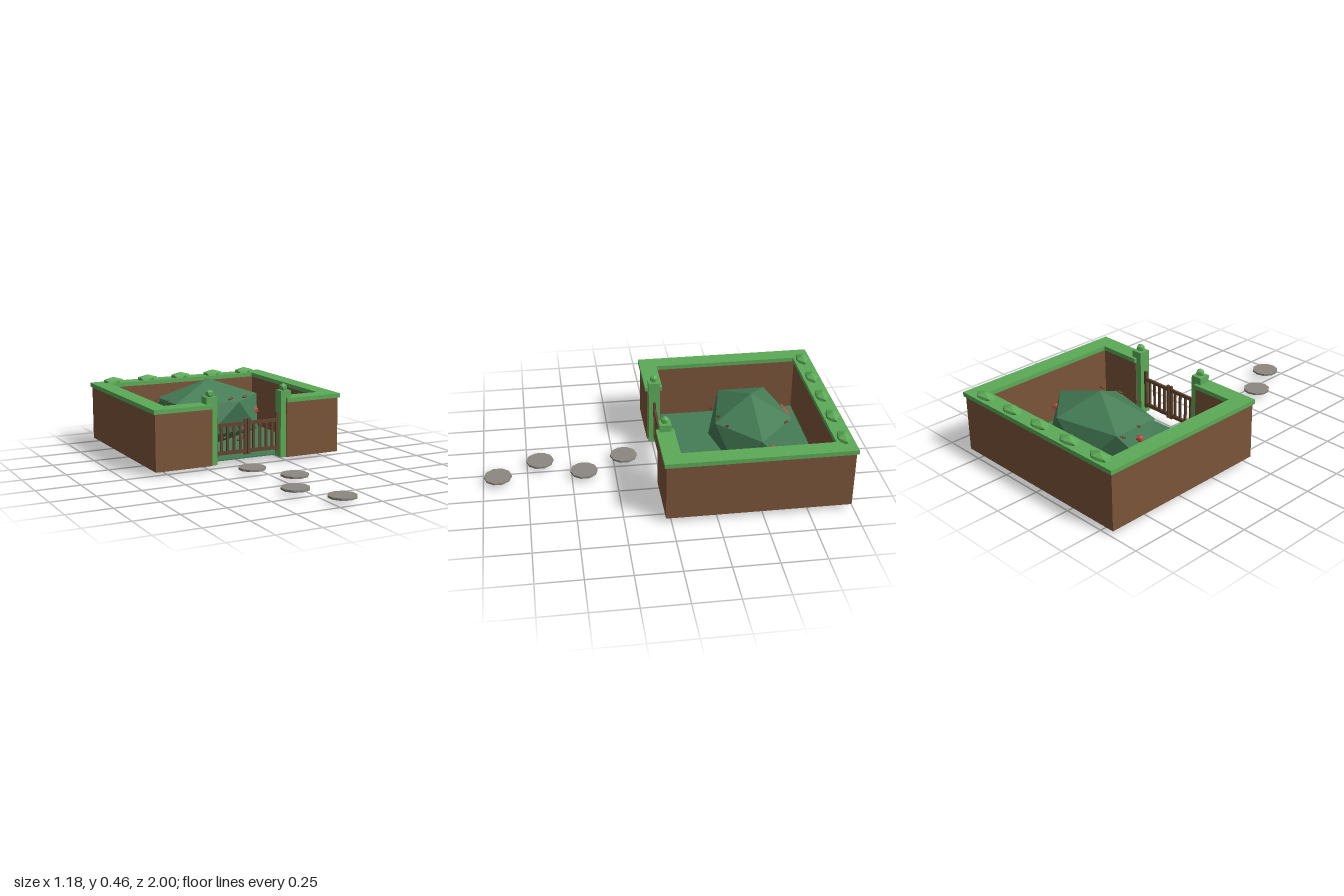
import * as THREE from 'three';
import { ConvexGeometry } from 'three/addons/geometries/ConvexGeometry.js';

const mat = (name, color) => {
  const m = new THREE.MeshStandardMaterial({ color, flatShading: true });
  m.name = name;
  return m;
};

// Icosahedron standing on a corner, stretched along each axis
function crystal(rx, ry, rz) {
  const pts = [new THREE.Vector3(0, ry, 0), new THREE.Vector3(0, -ry, 0)];
  for (let i = 0; i < 10; i++) {
    const a = (i * Math.PI) / 5;
    const y = i % 2 ? -0.447 : 0.447;
    pts.push(new THREE.Vector3(0.894 * rx * Math.cos(a), y * ry, 0.894 * rz * Math.sin(a)));
  }
  return new ConvexGeometry(pts);
}

export function createModel() {
  const root = new THREE.Group();
  root.name = 'walledGarden';
  const brown = mat('earth brown', 0x7a5438);
  const green = mat('leaf green', 0x5cab57);
  const darkGreen = mat('moss green', 0x457d56);
  const wood = mat('gate wood', 0x64452f);
  const grey = mat('stone grey', 0x8c8781);
  const red = mat('berry red', 0xc2463c);
  const orange = mat('clay orange', 0xca8a45);
  const cream = mat('stem cream', 0xe4d8bd);
  const leafBrown = mat('dry leaf brown', 0x74402c);

  const add = (name, geo, material, x, y, z, parent = root) => {
    const m = new THREE.Mesh(geo, material);
    m.name = name;
    m.position.set(x, y, z);
    parent.add(m);
    return m;
  };
  // Box given by its limits on each axis
  const box = (name, material, x0, x1, y0, y1, z0, z1, parent) =>
    add(name, new THREE.BoxGeometry(x1 - x0, y1 - y0, z1 - z0), material,
      (x0 + x1) / 2, (y0 + y1) / 2, (z0 + z1) / 2, parent);

  // Ground and back wall
  box('floor', darkGreen, -0.5, 0.5, 0.03, 0.037, -0.91, -0.055);
  box('backWall', brown, -0.58, 0.58, 0.03, 0.355, -0.99, -0.91);
  box('backCoping', green, -0.59, 0.59, 0.355, 0.38, -1, -0.9);

  for (const s of [-1, 1]) {
    const side = (name, m, a, b, ...rest) =>
      box(name, m, Math.min(s * a, s * b), Math.max(s * a, s * b), ...rest);
    // Side and front walls with their copings
    side('sideWall', brown, 0.5, 0.58, 0.03, 0.355, -0.91, 0.03);
    side('sideCoping', green, 0.49, 0.59, 0.355, 0.38, -0.9, 0.04);
    side('frontWall', brown, 0.237, 0.5, 0.03, 0.355, -0.05, 0.03);
    side('frontCoping', green, 0.235, 0.49, 0.355, 0.38, -0.06, 0.04);

    // Gate post and finial
    side('gatePost', green, 0.202, 0.268, 0.03, 0.42, -0.043, 0.023);
    add('postFinial', crystal(0.025, 0.025, 0.025), green, s * 0.235, 0.436, -0.01);

    // Gate leaf
    const z0 = -0.017, z1 = -0.003;
    side('gateOuterStile', wood, 0.186, 0.202, 0.066, 0.298, z0, z1);
    side('gateInnerStile', wood, 0.004, 0.02, 0.066, 0.273, z0, z1);
    side('gateTopRail', wood, 0.02, 0.186, 0.239, 0.258, z0, z1);
    side('gateBottomRail', wood, 0.02, 0.186, 0.076, 0.097, z0, z1);
    for (let i = 0; i < 4; i++) {
      const x = 0.043 + i * 0.04;
      side('gatePicket', wood, x - 0.007, x + 0.007, 0.097, 0.239, z0 + 0.002, z1 - 0.002);
    }
  }

  // Shrubs along the back coping
  for (let i = -2; i <= 2; i++)
    add('wallShrub', crystal(0.073, 0.033, 0.043), green, i * 0.228, 0.38, -0.95);

  // Central mound
  add('mound', crystal(0.375, 0.213, 0.26), darkGreen, 0, 0.217, -0.535);

  // Berries, dry leaves and pebbles resting on the mound
  const berry = crystal(0.023, 0.021, 0.02);
  for (const p of [[-0.31, 0.265, -0.545], [0.285, 0.222, -0.455], [0.3, 0.25, -0.6], [-0.06, 0.105, -0.36]])
    add('berry', berry, red, ...p);

  const leaf = crystal(0.02, 0.007, 0.01);
  const leaves = [
    [0.06, 0.33, -0.34, 0.3], [0.17, 0.33, -0.37, 0.3], [-0.06, 0.315, -0.32, 0.2],
    [0.17, 0.33, -0.705, -0.9], [-0.285, 0.3, -0.64, 1.2], [-0.27, 0.31, -0.515, 1.3],
    [0.06, 0.08, -0.42, 0.4], [0.1, 0.115, -0.37, 0.3], [0.18, 0.075, -0.41, 0.8], [0.165, 0.05, -0.43, -0.5],
  ];
  for (const [x, y, z, turn] of leaves) {
    const m = add('dryLeaf', leaf, leafBrown, x, y, z);
    m.rotation.set(0.3, turn, 0.25);
  }
  for (const p of [[0.145, 0.135, -0.335], [-0.3, 0.14, -0.49]])
    add('pebble', crystal(0.017, 0.019, 0.017), grey, ...p);

  // Mushrooms in the corner
  for (const [x, z, r] of [[-0.325, -0.805, 0.052], [-0.405, -0.67, 0.036]]) {
    const shroom = new THREE.Group();
    shroom.name = 'mushroom';
    shroom.position.set(x, 0.037, z);
    root.add(shroom);
    add('stem', new THREE.CylinderGeometry(r * 0.3, r * 0.38, r * 1.2, 8), cream, 0, r * 0.6, 0, shroom);
    add('cap', new THREE.ConeGeometry(r, r * 0.9, 12), red, 0, r * 1.6, 0, shroom);
    add('capKnob', new THREE.SphereGeometry(r * 0.22, 8, 6), red, 0, r * 2, 0, shroom);
  }

  // Clay basin with a stone bed
  add('basinRim', new THREE.TorusGeometry(0.083, 0.013, 6, 18), orange, 0.325, 0.055, -0.765)
    .rotation.x = Math.PI / 2;
  add('basinBed', new THREE.CylinderGeometry(0.08, 0.08, 0.016, 18), grey, 0.325, 0.045, -0.765);

  // Stepping stones
  [0.19, 0.43, 0.675, 0.917].forEach((z, i) =>
    add('steppingStone', new THREE.CylinderGeometry(0.078, 0.078, 0.012, 10), grey, i % 2 ? 0.065 : -0.07, 0.036, z));

  return root;
}
